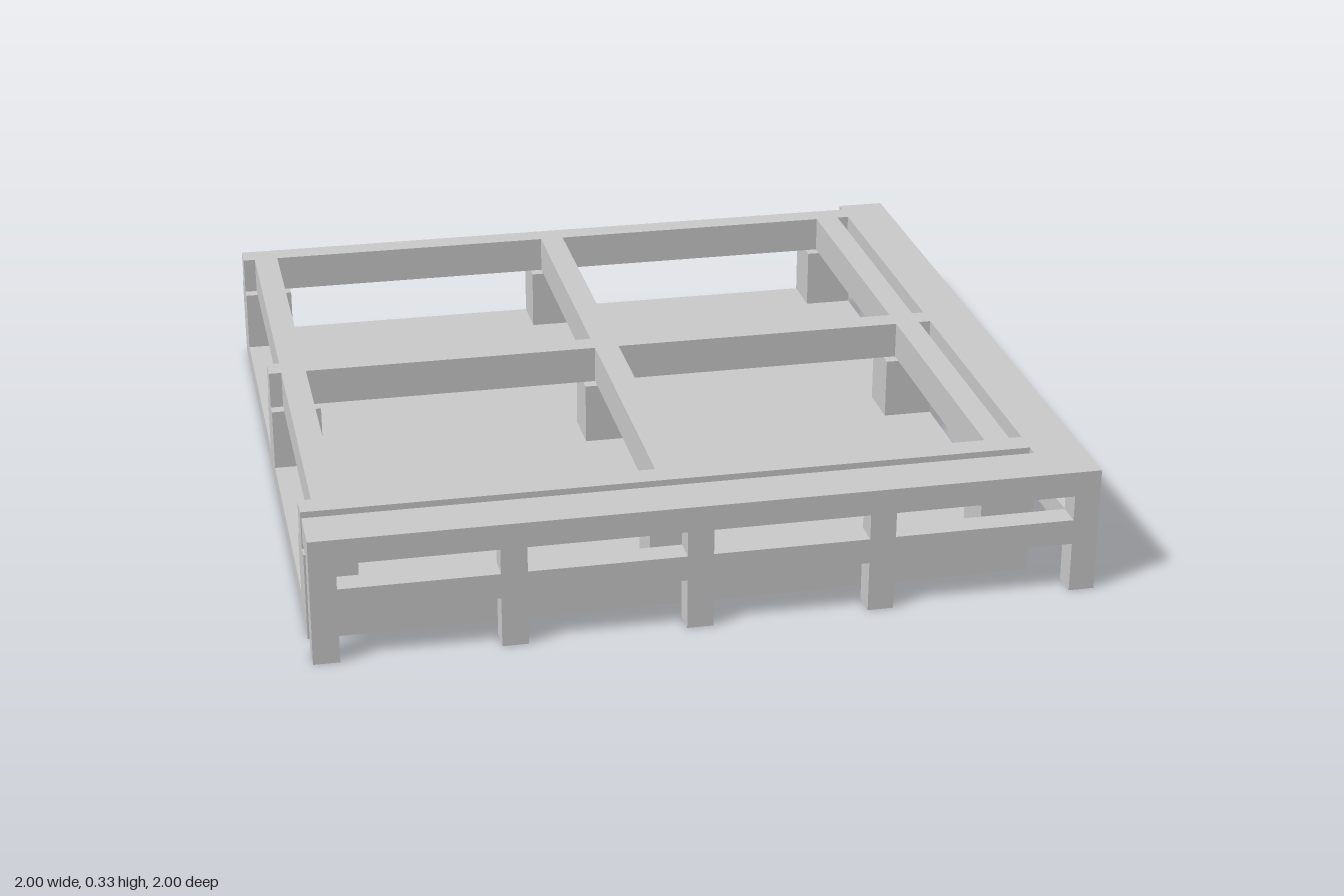
import * as THREE from 'three';

const U = 1 / 15; // all sizes below are in modules of this length
const material = new THREE.MeshStandardMaterial({ color: 0xcccccc, flatShading: true });

// Box given by its minimum and maximum corners, in modules
function block(name, [x0, y0, z0], [x1, y1, z1]) {
  const geometry = new THREE.BoxGeometry((x1 - x0) * U, (y1 - y0) * U, (z1 - z0) * U);
  geometry.translate((x0 + x1) / 2 * U, (y0 + y1) / 2 * U, (z0 + z1) / 2 * U);
  const mesh = new THREE.Mesh(geometry, material);
  mesh.name = name;
  return mesh;
}

// Railing panel: five legs, a middle rail and a top rail, cut from one sheet
function railing(name) {
  const legs = [-15, -8, -1, 6, 14];
  const shape = new THREE.Shape();
  shape.moveTo(-15 * U, 5 * U);
  legs.forEach((x, i) => {
    if (i > 0) shape.lineTo(x * U, 2 * U);
    shape.lineTo(x * U, 0);
    shape.lineTo((x + 1) * U, 0);
    if (i < legs.length - 1) shape.lineTo((x + 1) * U, 2 * U);
  });
  shape.lineTo(15 * U, 5 * U);
  shape.closePath();
  for (let i = 0; i < legs.length - 1; i++) {
    const a = (legs[i] + 1) * U, b = legs[i + 1] * U;
    const hole = new THREE.Path();
    hole.moveTo(a, 3 * U);
    hole.lineTo(a, 4 * U);
    hole.lineTo(b, 4 * U);
    hole.lineTo(b, 3 * U);
    hole.closePath();
    shape.holes.push(hole);
  }
  const geometry = new THREE.ExtrudeGeometry(shape, { depth: U, bevelEnabled: false });
  geometry.translate(0, 0, 14 * U);
  const mesh = new THREE.Mesh(geometry, material);
  mesh.name = name;
  return mesh;
}

export function createModel() {
  const model = new THREE.Group();
  model.name = 'deckFrame';

  // Foundation slab, offset towards the back right corner
  model.add(block('foundationSlab', [-15, 0, -15], [13, 1, 13]));

  // Nine square piers standing on the slab
  const piers = new THREE.Group();
  piers.name = 'piers';
  for (const x of [-15, -2, 11]) {
    for (const z of [-15, -2, 11]) {
      piers.add(block('pier', [x, 1, z], [x + 2, 3.5, z + 2]));
    }
  }
  model.add(piers);

  // Beam grid: long cross beams with shorter joists fitted between them
  const beams = new THREE.Group();
  beams.name = 'beamGrid';
  const lines = [-14.5, -1.5, 11.5];
  for (const z of lines) beams.add(block('crossBeam', [-15, 3.5, z], [13, 5, z + 1]));
  for (const x of lines) {
    for (let i = 0; i < 2; i++) {
      beams.add(block('joist', [x, 3.5, lines[i] + 1], [x + 1, 5, lines[i + 1]]));
    }
  }
  model.add(beams);

  // Railings along the front and the +x side, sharing the corner leg
  model.add(railing('frontRailing'));
  const side = railing('sideRailing');
  side.rotation.y = Math.PI / 2;
  model.add(side);

  // Inner ledge widening the top rails towards the beams
  model.add(block('frontLedge', [-15, 4, 13], [14, 5, 14]));
  model.add(block('sideLedge', [13, 4, -15], [14, 5, 13]));

  return model;
}
